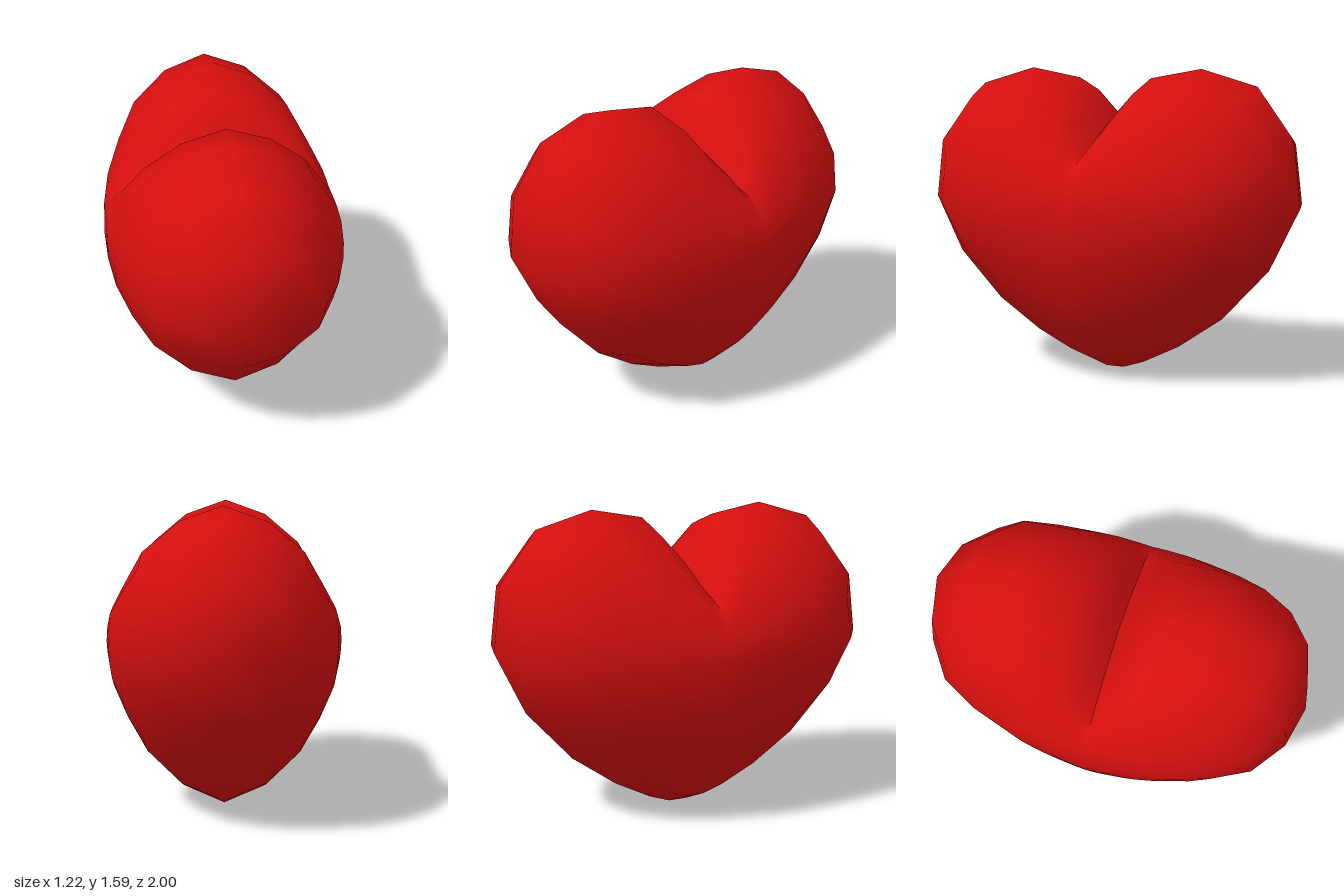
import * as THREE from 'three';
import { toCreasedNormals } from 'three/addons/utils/BufferGeometryUtils.js';

const CENTRE_Y = 0.88;

// Half of the heart outline as [z, y], from the cleft round to the tip
const HALF = [
  [0, 1.28], [0.07, 1.39], [0.2, 1.54], [0.475, 1.59], [0.77, 1.505], [0.96, 1.245],
  [1, 0.905], [0.845, 0.58], [0.6, 0.31], [0.36, 0.14], [0.165, 0.04], [0.05, 0],
];

// Cross-sections outward from the middle: [x, height scale, depth scale, cleft fill]
const SECTIONS = [
  [0, 1, 1, 0], [0.22, 0.89, 0.95, 0], [0.4, 0.69, 0.82, 0.1], [0.5, 0.49, 0.63, 0.6],
  [0.57, 0.31, 0.41, 0.9], [0.6, 0.16, 0.2, 1], [0.61, 0, 0, 1],
];

function heartGeometry() {
  const mirrored = HALF.slice(1).reverse().map(([z, y]) => [-z, y]);
  const outline = [...HALF, ...mirrored];
  const left = SECTIONS.slice(1).reverse().map(([x, ...rest]) => [-x, ...rest]);
  const rings = [...left, ...SECTIONS];
  const n = outline.length;
  const positions = [];
  const index = [];

  // Shrink the outline toward each cheek while the cleft fades into a round top
  for (const [x, sy, sz, fill] of rings) {
    for (const [z, y] of outline) {
      let dy = y - CENTRE_Y;
      if (dy > 0.1) {
        const rounded = 0.58 * Math.sqrt(1 - Math.pow(z, 6));
        dy += (rounded - dy) * fill;
      }
      positions.push(x, CENTRE_Y + dy * sy, z * sz);
    }
  }

  // Join neighbouring rings; the end rings are single points
  for (let i = 0; i < rings.length - 1; i++) {
    for (let j = 0; j < n; j++) {
      const k = (j + 1) % n;
      const a = i * n + j, b = i * n + k, c = (i + 1) * n + k, d = (i + 1) * n + j;
      if (i > 0) index.push(a, b, c === d ? d : (i === rings.length - 2 ? d : c));
      if (i < rings.length - 2) index.push(a, c, d);
    }
  }

  const geometry = new THREE.BufferGeometry();
  geometry.setAttribute('position', new THREE.Float32BufferAttribute(positions, 3));
  geometry.setIndex(index);
  // Smooth everywhere except the sharp cleft
  return toCreasedNormals(geometry, 1.1);
}

export function createModel() {
  const red = new THREE.MeshStandardMaterial({ color: 0xd40f0f });
  red.name = 'heart red';

  const heart = new THREE.Mesh(heartGeometry(), red);
  heart.name = 'heart';

  const model = new THREE.Group();
  model.name = 'heartModel';
  model.add(heart);
  return model;
}
